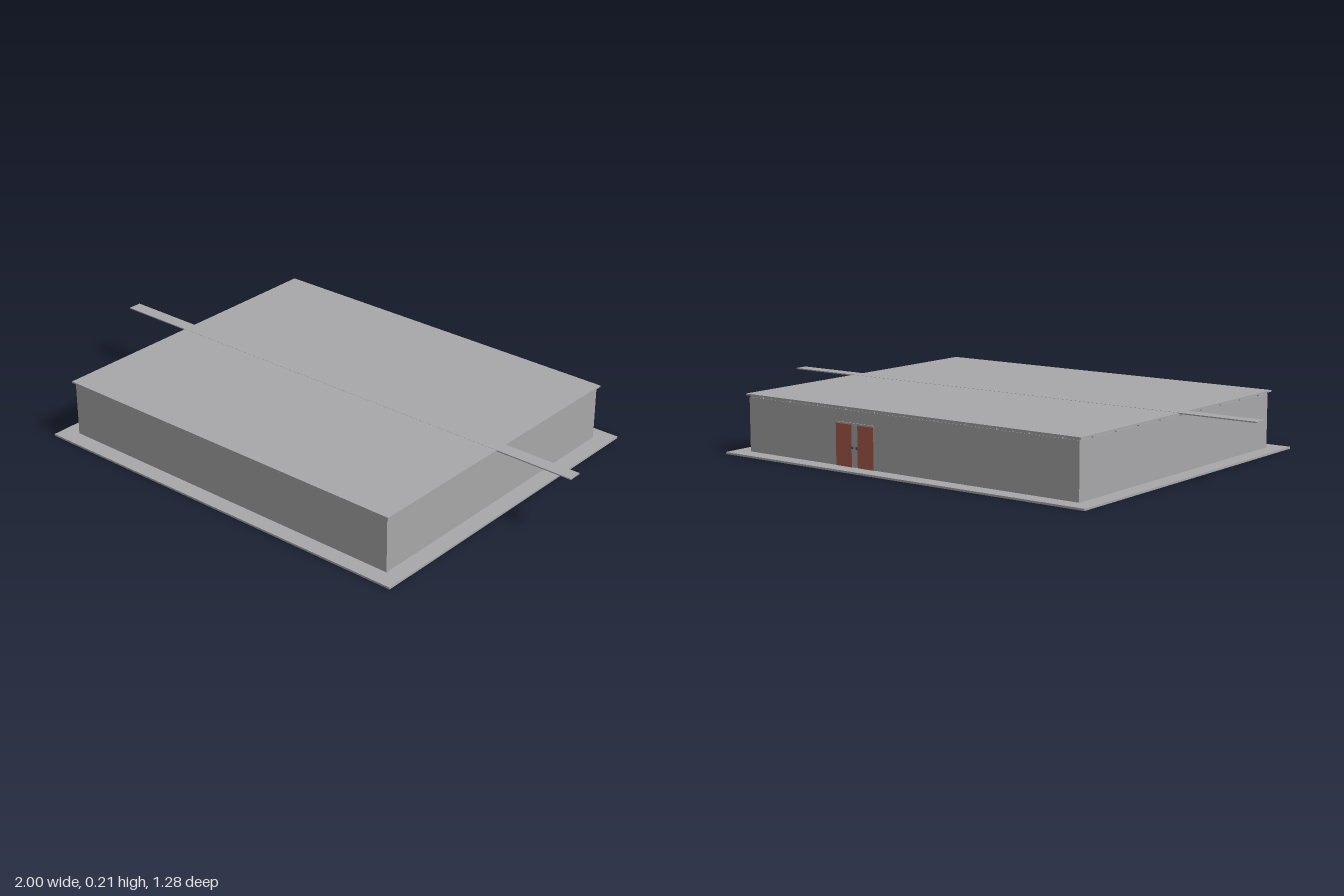
import * as THREE from 'three';

export function createModel() {
  const model = new THREE.Group();
  const mat = (name, color) => {
    const m = new THREE.MeshStandardMaterial({ color });
    m.name = name;
    return m;
  };
  const concrete = mat('concrete grey', 0xa8a8aa);
  const wood = mat('door red brown', 0xaa5d4b);
  const metal = mat('dark metal', 0x4a4645);

  // Box given by its lower and upper limits on each axis
  const box = (name, material, [x0, x1], [y0, y1], [z0, z1], parent = model) => {
    const mesh = new THREE.Mesh(new THREE.BoxGeometry(x1 - x0, y1 - y0, z1 - z0), material);
    mesh.name = name;
    mesh.position.set((x0 + x1) / 2, (y0 + y1) / 2, (z0 + z1) / 2);
    parent.add(mesh);
    return mesh;
  };

  // Ground slab, walls and roof
  box('baseSlab', concrete, [-0.762, 0.762], [0, 0.007], [-0.638, 0.638]);
  box('walls', concrete, [-0.7, 0.7], [0.007, 0.2], [-0.577, 0.577]);
  box('roofBeam', concrete, [-0.698, 0.698], [0.2, 0.207], [-0.575, 0.575]);
  box('roofSlab', concrete, [-0.71, 0.71], [0.206, 0.212], [-0.585, 0.585]);

  // Long narrow strip over the roof, overhanging both sides
  box('roofStrip', concrete, [-1, 1], [0.2085, 0.2125], [-0.025, 0.025]);

  // Small rafter tails under the eaves
  const tails = new THREE.Group();
  tails.name = 'rafterTails';
  model.add(tails);
  for (const s of [-1, 1]) {
    for (let i = -5; i <= 5; i++) {
      const x = i * 0.127;
      const z = [s * 0.57, s * 0.581].sort((a, b) => a - b);
      box('rafterTail', concrete, [x - 0.003, x + 0.003], [0.2, 0.2062], z, tails);
    }
    for (let i = -4; i <= 4; i++) {
      const z = i * 0.127;
      const x = [s * 0.69, s * 0.705].sort((a, b) => a - b);
      box('rafterTail', concrete, x, [0.2, 0.2062], [z - 0.003, z + 0.003], tails);
    }
  }

  // Double door in the back wall, with a narrow centre post
  const door = new THREE.Group();
  door.name = 'backDoor';
  door.position.set(0.212, 0, -0.577);
  model.add(door);
  box('centrePost', concrete, [-0.013, 0.013], [0.007, 0.15], [-0.001, 0.001], door);
  box('lintel', concrete, [-0.083, 0.083], [0.152, 0.158], [-0.004, 0.001], door);
  for (const s of [-1, 1]) {
    const x = [s * 0.013, s * 0.083].sort((a, b) => a - b);
    box('doorLeaf', wood, x, [0.007, 0.152], [-0.003, 0.001], door);
    box('doorHandle', metal, [s * 0.009 - 0.003, s * 0.009 + 0.003], [0.07, 0.078], [-0.005, 0], door);
  }
  return model;
}
